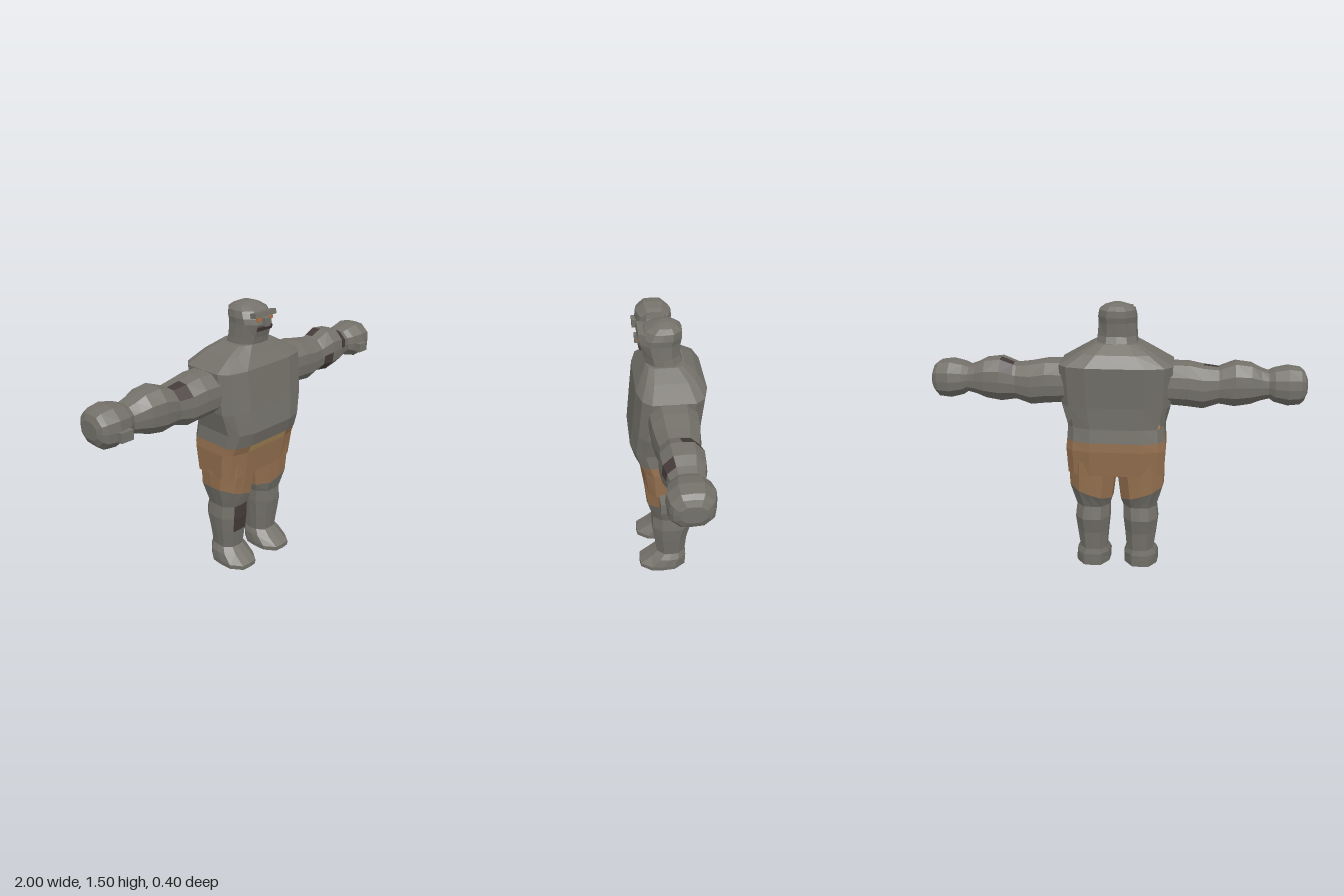
import * as THREE from 'three';

const mat = (name, color) => {
  const m = new THREE.MeshStandardMaterial({ color, side: THREE.DoubleSide });
  m.name = name;
  return m;
};

// Unit cross-sections, ordered from +u towards +v
const LIMB = [[1, 0], [0.95, 0.5], [0.5, 0.96], [0, 1], [-0.5, 0.96], [-0.95, 0.5],
  [-1, 0], [-0.95, -0.5], [-0.5, -0.96], [0, -1], [0.5, -0.96], [0.95, -0.5]];
const TRUNK = [[1, 0], [1, 0.6], [0.86, 0.86], [0.52, 1], [-0.52, 1], [-0.86, 0.86], [-1, 0.6],
  [-1, 0], [-1, -0.6], [-0.86, -0.86], [-0.52, -1], [0.52, -1], [0.86, -0.86], [1, -0.6]];

const mix = (a, b, t) => (a + b) / 2 + t * (b - a) / 2;

// Ring across y: [y, x0, x1, z0, z1, tilt]
const ringY = (shape, side = 1) => ([y, x0, x1, z0, z1, tilt = 0]) =>
  shape.map(([u, v]) => [side * mix(x0, x1, u), y + u * tilt, mix(z0, z1, v)]);
// Ring across x: [x, y0, y1, z0, z1]
const ringX = (side) => ([x, y0, y1, z0, z1]) =>
  LIMB.map(([u, v]) => [side * x, mix(y0, y1, v), mix(z0, z1, u)]);

// Faceted skin over rings; paint(band, segment) picks a material, or -1 for an opening
function loft(name, rings, materials, paint = () => 0, flip = false, caps = [true, true]) {
  const buckets = materials.map(() => []);
  const tri = (k, a, b, c) => buckets[k].push(...a, ...(flip ? c : b), ...(flip ? b : c));
  const n = rings[0].length;
  for (let i = 0; i < rings.length - 1; i++) {
    for (let j = 0; j < n; j++) {
      const k = paint(i, j), j2 = (j + 1) % n;
      if (k < 0) continue;
      const a = rings[i][j], b = rings[i][j2], c = rings[i + 1][j2], d = rings[i + 1][j];
      tri(k, a, d, c);
      tri(k, a, c, b);
    }
  }
  [rings[0], rings[rings.length - 1]].forEach((r, end) => {
    if (!caps[end]) return;
    const mid = [0, 1, 2].map((q) => r.reduce((s, p) => s + p[q], 0) / n);
    for (let j = 0; j < n; j++) {
      const p = r[j], q = r[(j + 1) % n];
      end ? tri(0, mid, q, p) : tri(0, mid, p, q);
    }
  });
  const g = new THREE.BufferGeometry();
  g.setAttribute('position', new THREE.Float32BufferAttribute(buckets.flat(), 3));
  let start = 0;
  buckets.forEach((b, k) => {
    g.addGroup(start, b.length / 3, k);
    start += b.length / 3;
  });
  g.computeVertexNormals();
  const mesh = new THREE.Mesh(g, materials);
  mesh.name = name;
  return mesh;
}

function box(name, size, pos, material, tilt = 0) {
  const m = new THREE.Mesh(new THREE.BoxGeometry(...size), material);
  m.name = name;
  m.position.set(...pos);
  m.rotation.x = tilt;
  return m;
}

export function createModel() {
  const model = new THREE.Group();
  model.name = 'figure';
  const stone = mat('stone grey', 0x74716a);
  const cloth = mat('brown cloth', 0x94704f);
  const buckle = mat('tan belt', 0xb3925f);
  const dark = mat('dark patch', 0x453b3a);
  const eye = mat('amber eye', 0xa8683c);

  // Torso, with a small opening low on each side of the back
  const wide = ([y, w, z0, z1]) => [y, -w, w, z0, z1];
  model.add(loft('torso', [
    [0.77, 0.265, -0.18, 0.175], [0.85, 0.26, -0.17, 0.2], [0.97, 0.29, -0.175, 0.187],
    [1.19, 0.3, -0.2, 0.165], [1.25, 0.2, -0.155, 0.13], [1.295, 0.12, -0.095, 0.105],
  ].map(wide).map(ringY(TRUNK)), [stone],
  (i, j) => (i === 1 && (j === 8 || j === 12) ? -1 : 0), false, [false, true]));

  // Hips of the shorts, with the belt plate at the front
  model.add(loft('shortsHips', [
    [0.58, 0.262, -0.16, 0.13], [0.725, 0.27, -0.18, 0.152], [0.775, 0.265, -0.18, 0.175],
  ].map(wide).map(ringY(TRUNK)), [cloth, buckle],
  (i, j) => (i === 1 && j === 3 ? 1 : 0), false, [true, false]));

  // Head
  model.add(loft('head', [
    [1.26, 0.115, -0.1, 0.1], [1.33, 0.107, -0.075, 0.115], [1.4, 0.102, -0.08, 0.138],
    [1.43, 0.104, -0.086, 0.13], [1.465, 0.096, -0.085, 0.105], [1.485, 0.07, -0.06, 0.065],
    [1.5, 0.025, -0.025, 0.03],
  ].map(wide).map(ringY(LIMB)), [stone]));
  model.add(box('brow', [0.15, 0.026, 0.04], [0, 1.45, 0.122], stone, -0.2));
  model.add(box('nose', [0.036, 0.044, 0.025], [0, 1.413, 0.143], stone));
  model.add(box('mouth', [0.105, 0.024, 0.008], [0, 1.378, 0.132], dark, 0.33));

  for (const s of [1, -1]) {
    const side = s > 0 ? 'left' : 'right';
    const flip = s < 0;
    model.add(box(side + 'Eye', [0.034, 0.016, 0.009], [s * 0.04, 1.427, 0.132], eye, -0.2));

    // Arm with dark patches that differ from side to side
    const armPaint = (i, j) => {
      if (s > 0) {
        if (i === 4 && [3, 4, 10, 11].includes(j)) return 1;
        return i === 6 && j < 2 ? 1 : 0;
      }
      return i === 2 && (j === 1 || j === 2) ? 1 : 0;
    };
    model.add(loft(side + 'Arm', [
      [0.25, 0.97, 1.19, -0.14, 0.115], [0.38, 0.96, 1.19, -0.137, 0.11],
      [0.46, 0.95, 1.175, -0.13, 0.1], [0.54, 0.975, 1.165, -0.112, 0.088],
      [0.555, 0.975, 1.172, -0.114, 0.09], [0.625, 0.965, 1.2, -0.125, 0.097],
      [0.71, 0.98, 1.19, -0.12, 0.09], [0.76, 1.0, 1.165, -0.108, 0.075],
      [0.82, 1.015, 1.145, -0.1, 0.06],
    ].map(ringX(s)), [stone, dark], armPaint, flip));

    // Fist with a small raised block
    model.add(loft(side + 'Fist', [
      [0.795, 1.02, 1.15, -0.1, 0.06], [0.83, 0.997, 1.165, -0.122, 0.08],
      [0.9, 0.98, 1.18, -0.136, 0.096], [0.965, 0.985, 1.172, -0.122, 0.085],
      [0.987, 1.005, 1.155, -0.105, 0.07], [1.0, 1.035, 1.125, -0.08, 0.04],
    ].map(ringX(s)), [stone], undefined, flip));
    model.add(box(side + 'FistBlock', [0.07, 0.05, 0.04], [s * 0.885, 1.055, 0.095], stone));

    // Shorts leg with a slanted hem
    const hem = [0.46, 0.02, 0.262, -0.153, 0.117, 0.04];
    model.add(loft(side + 'ShortsLeg', [
      hem, [0.58, 0, 0.265, -0.16, 0.13], [0.66, 0, 0.262, -0.165, 0.135],
    ].map(ringY(LIMB, s)), [cloth], undefined, flip, [false, true]));

    // Bare leg, with one dark shin patch on the right
    model.add(loft(side + 'Leg', [
      [0.1, 0.055, 0.21, -0.1, 0.065], [0.21, 0.045, 0.225, -0.11, 0.08],
      [0.3, 0.036, 0.235, -0.132, 0.092], [0.375, 0.035, 0.226, -0.118, 0.09], hem,
    ].map(ringY(LIMB, s)), [stone, dark],
    (i, j) => (flip && (i === 1 || i === 2) && (j === 2 || j === 3) ? 1 : 0), flip));

    // Foot sloping down to the toes
    model.add(loft(side + 'Foot', [
      [0, 0.04, 0.235, -0.102, 0.165], [0.025, 0.038, 0.237, -0.104, 0.165],
      [0.07, 0.042, 0.23, -0.106, 0.1], [0.102, 0.055, 0.212, -0.1, 0.065],
    ].map(ringY(LIMB, s)), [stone], undefined, flip));
  }
  return model;
}
